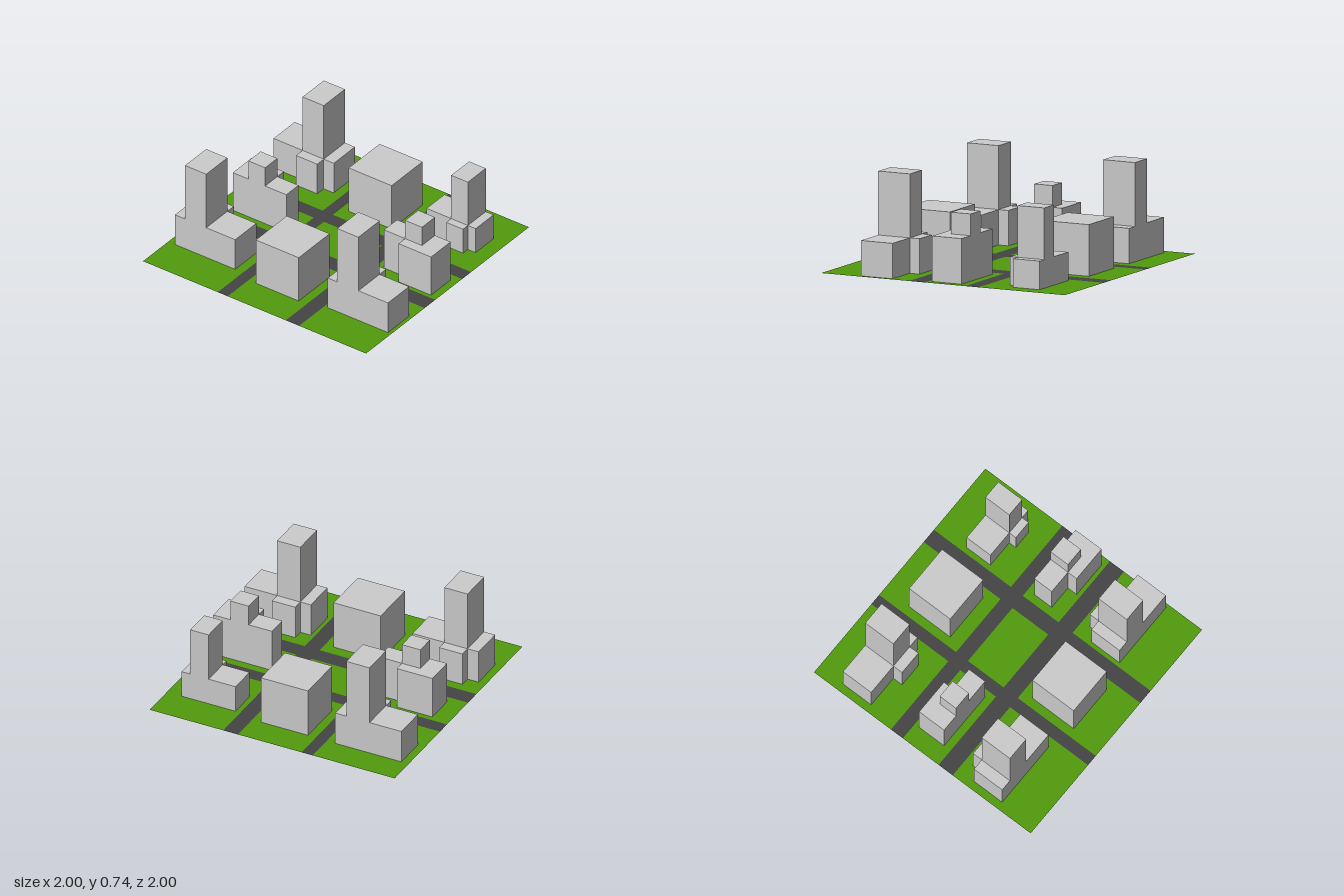
import * as THREE from 'three';

const GROUND_Y = 0.01;
const wall = new THREE.MeshStandardMaterial({ color: 0xcccccc, flatShading: true });
const grass = new THREE.MeshStandardMaterial({ color: 0x519b0e, side: THREE.DoubleSide });
const asphalt = new THREE.MeshStandardMaterial({ color: 0x444444, side: THREE.DoubleSide });

// Flat ground tile covering x0..x1, z0..z1
function tile(name, material, [x0, x1], [z0, z1]) {
  const geometry = new THREE.PlaneGeometry(x1 - x0, z1 - z0).rotateX(-Math.PI / 2);
  const mesh = new THREE.Mesh(geometry, material);
  mesh.name = name;
  mesh.position.set((x0 + x1) / 2, GROUND_Y, (z0 + z1) / 2);
  return mesh;
}

// Block raised from a footprint of [x, z] corners
function block(name, corners, y0, y1) {
  const shape = new THREE.Shape(corners.map(([x, z]) => new THREE.Vector2(x, -z)));
  const geometry = new THREE.ExtrudeGeometry(shape, { depth: y1 - y0, bevelEnabled: false });
  geometry.rotateX(-Math.PI / 2).translate(0, y0, 0);
  const mesh = new THREE.Mesh(geometry, wall);
  mesh.name = name;
  return mesh;
}

const rect = (x0, x1, z0, z1) => [[x0, z0], [x1, z0], [x1, z1], [x0, z1]];

function building(name, footprint, baseY, baseH, tower, towerH) {
  const group = new THREE.Group();
  group.name = name;
  group.add(block('base', footprint, baseY, baseH));
  if (tower) group.add(block('tower', rect(...tower), baseH, towerH));
  return group;
}

// Slab with a porch at zPorch, on the side zFace, and a tower rising behind the porch
function porchTower(name, [x0, x1], [t0, t1], zBack, zFace, zPorch, baseH, towerH) {
  const footprint = [
    [x0, zBack], [x1, zBack], [x1, zFace], [t1, zFace],
    [t1, zPorch], [t0, zPorch], [t0, zFace], [x0, zFace],
  ];
  const tower = [t0, t1, Math.min(zBack, zFace), Math.max(zBack, zFace)];
  return building(name, footprint, 0.005, baseH, tower, towerH);
}

export function createModel() {
  const city = new THREE.Group();
  city.name = 'cityBlocks';

  // Grass lots between the roads
  const lotX = [[-1, -0.33], [-0.24, 0.28], [0.4, 1]];
  const lotZ = [[-1, -0.29], [-0.18, 0.15], [0.28, 1]];
  for (const x of lotX) for (const z of lotZ) city.add(tile('grassLot', grass, x, z));

  // Roads: two full cross streets, and avenue pieces filling the gaps between them
  for (const i of [0, 1]) {
    city.add(tile('crossStreet', asphalt, [-1, 1], [lotZ[i][1], lotZ[i + 1][0]]));
    for (const z of lotZ) city.add(tile('avenue', asphalt, [lotX[i][1], lotX[i + 1][0]], z));
  }

  // Corner towers with porches facing the middle
  city.add(
    porchTower('frontRightTower', [-0.94, -0.4], [-0.85, -0.66], 0.69, 0.43, 0.35, 0.27, 0.74),
    porchTower('frontLeftTower', [0.43, 0.97], [0.515, 0.705], 0.69, 0.43, 0.35, 0.27, 0.74),
    porchTower('backRightTower', [-0.94, -0.4], [-0.68, -0.49], -0.78, -0.52, -0.44, 0.27, 0.74),
    porchTower('backLeftTower', [0.44, 0.88], [0.66, 0.81], -0.73, -0.51, -0.45, 0.22, 0.6),
  );

  // Stepped buildings on the side lots
  const rightPlan = [[-0.86, -0.14], [-0.57, -0.14], [-0.57, -0.06], [-0.38, -0.06], [-0.38, 0.09], [-0.86, 0.09]];
  const leftPlan = [[0.46, -0.12], [0.94, -0.12], [0.94, 0.12], [0.65, 0.12], [0.65, 0.04], [0.46, 0.04]];
  city.add(
    building('rightSteppedBuilding', rightPlan, 0, 0.34, [-0.72, -0.57, -0.06, 0.09], 0.5),
    building('leftSteppedBuilding', leftPlan, 0, 0.345, [0.65, 0.8, -0.12, 0.04], 0.505),
  );

  // Plain square buildings front and back
  city.add(
    building('frontSquareBuilding', rect(-0.175, 0.21, 0.365, 0.745), 0, 0.39),
    building('backSquareBuilding', rect(-0.175, 0.21, -0.775, -0.395), 0, 0.39),
  );
  return city;
}
